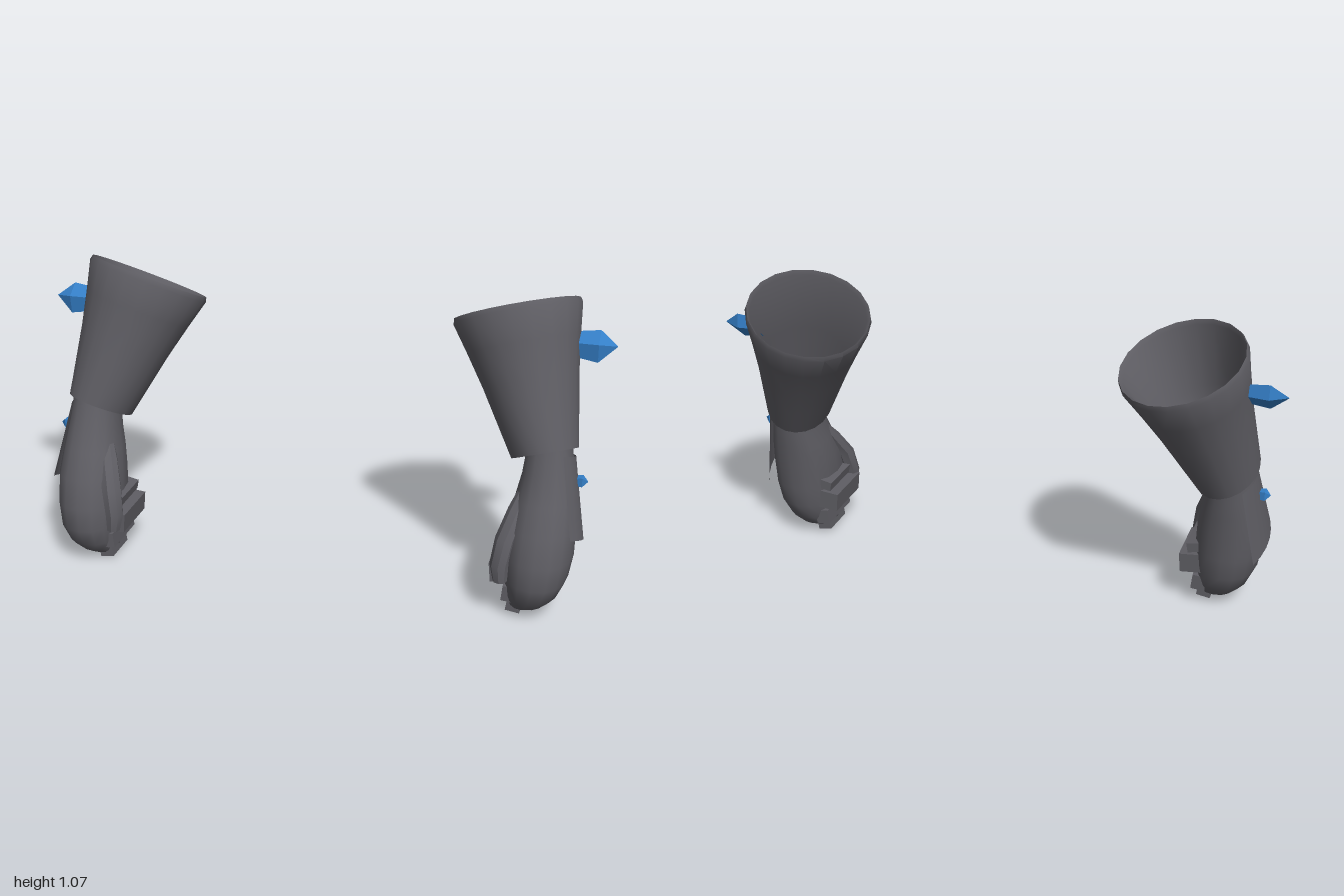
import * as THREE from 'three';
import { toCreasedNormals } from 'three/addons/utils/BufferGeometryUtils.js';

const V = (x, y, z) => new THREE.Vector3(x, y, z);

// Skin a list of rings; s = -1 mirrors the surface across x = 0.
function loft(rings, s, { closed = true, crease = 0.6 } = {}) {
  const n = rings[0].length, pos = [], idx = [];
  for (const ring of rings) for (const p of ring) pos.push(p.x * s, p.y, p.z);
  for (let i = 0; i < rings.length - 1; i++) {
    for (let j = 0; j < (closed ? n : n - 1); j++) {
      const k = (j + 1) % n;
      const a = i * n + j, b = i * n + k, c = b + n, d = a + n;
      if (s > 0) idx.push(a, d, c, a, c, b);
      else idx.push(a, c, d, a, b, c);
    }
  }
  const g = new THREE.BufferGeometry();
  g.setAttribute('position', new THREE.Float32BufferAttribute(pos, 3));
  g.setIndex(idx);
  return toCreasedNormals(g, crease);
}

// Elliptical ring in the plane spanned by u and v.
function ring(c, u, v, ru, rv, sides, power = 1) {
  const soft = (t) => Math.sign(t) * Math.abs(t) ** power;
  return Array.from({ length: sides }, (_, j) => {
    const a = (j / sides) * Math.PI * 2;
    return c.clone().addScaledVector(u, ru * soft(Math.cos(a))).addScaledVector(v, rv * soft(Math.sin(a)));
  });
}

function cuff(s) {
  const low = V(0.798, 0.54, 0.057), high = V(0.655, 0.98, -0.11);
  const n = V(-0.267, 0.89, -0.365).normalize();
  const u = V(1, 0, 0).addScaledVector(n, -n.x).normalize();
  const v = u.clone().cross(n);
  // [position along axis, wall inset]: outer wall, rim lip, inner wall, bottom lip
  const profile = [[0, 0], [0.25, 0.003], [0.5, 0.006], [0.75, 0.004], [0.965, 0],
    [1, 0.008], [0.97, 0.016], [0.5, 0.016], [0, 0.016], [0, 0]];
  return loft(profile.map(([t, inset]) => ring(low.clone().lerp(high, t), u, v,
    THREE.MathUtils.lerp(0.114, 0.223, t) - inset,
    THREE.MathUtils.lerp(0.137, 0.211, t) - inset, 20)), s);
}

function hand(s) {
  // [y, xMin, xMax, zMin, zMax, slant]
  const sections = [
    [0.004, 0.75, 0.752, 0.15, 0.152, 0], [0.012, 0.725, 0.79, 0.115, 0.2, 0],
    [0.04, 0.715, 0.845, 0.06, 0.245, 0], [0.08, 0.705, 0.885, 0.025, 0.28, 0],
    [0.14, 0.7, 0.912, 0, 0.298, 0], [0.22, 0.695, 0.925, -0.012, 0.29, 0],
    [0.32, 0.7, 0.925, -0.02, 0.262, 0], [0.4, 0.712, 0.915, -0.03, 0.215, 0.1],
    [0.48, 0.727, 0.9, -0.037, 0.168, 0.3], [0.56, 0.735, 0.888, -0.045, 0.14, 0.42],
  ];
  return loft(sections.map(([y, x0, x1, z0, z1, k]) => {
    const c = V((x0 + x1) / 2, y, (z0 + z1) / 2);
    const r = ring(c, V(1, 0, 0), V(0, 0, 1), (x1 - x0) / 2, (z1 - z0) / 2, 16, 0.87);
    for (const p of r) p.y += k * (p.z - c.z) + k * 0.6 * (p.x - c.x);
    return r;
  }), s, { crease: 0.9 });
}

function thumb(s) {
  // [x, y, z, radius]
  const path = [[0.7, 0.13, 0.245, 0.001], [0.695, 0.14, 0.245, 0.024], [0.69, 0.2, 0.24, 0.033],
    [0.705, 0.29, 0.22, 0.036], [0.735, 0.38, 0.165, 0.034], [0.76, 0.46, 0.11, 0.02]];
  return loft(path.map(([x, y, z, r]) => ring(V(x, y, z), V(1, 0, 0), V(0, 0, 1), r, r, 8)), s);
}

// Flared, gently curved guard over the back of the hand
function guard(s) {
  const rows = [];
  for (let i = 0; i <= 4; i++) {
    const t = i / 4, row = [];
    const back = V(0.94, 0.22, 0).lerp(V(0.89, 0.505, -0.042), t);
    const front = V(0.938, 0.315, 0.237).lerp(V(0.888, 0.57, 0.14), t);
    for (let j = 0; j <= 6; j++) {
      const w = j / 6, p = back.clone().lerp(front, w);
      p.x += 0.012 - 0.13 * (w - 0.5) ** 2;
      row.push(p);
    }
    rows.push(row);
  }
  return loft(rows, s, { closed: false });
}

// Faceted stone pointing outward: base, girdle, tip
function gem(s, outline, centre, levels) {
  const rings = levels.map(([x, k]) => outline.map(([y, z]) =>
    V(x, centre[0] + (y - centre[0]) * k, centre[1] + (z - centre[1]) * k)));
  return loft(rings, s, { crease: 0.01 });
}

export function createModel() {
  const model = new THREE.Group();
  model.name = 'gauntlets';
  const metal = new THREE.MeshStandardMaterial({ color: 0x5e5d63, side: THREE.DoubleSide });
  metal.name = 'dark grey metal';
  const blue = new THREE.MeshStandardMaterial({ color: 0x347ec6 });
  blue.name = 'blue crystal';

  for (const s of [1, -1]) {
    const side = new THREE.Group();
    side.name = s > 0 ? 'leftGauntlet' : 'rightGauntlet';
    const add = (name, geometry, material) => {
      const mesh = new THREE.Mesh(geometry, material);
      mesh.name = name;
      side.add(mesh);
      return mesh;
    };
    add('cuff', cuff(s), metal);
    add('hand', hand(s), metal);
    add('thumb', thumb(s), metal);
    add('handGuard', guard(s), metal);

    // Curled finger segments across the palm: [x, y, z, width, height, depth, tilt]
    const segments = [
      [0.71, 0.23, 0.12, 0.06, 0.035, 0.17, 0.2],
      [0.697, 0.165, 0.135, 0.08, 0.07, 0.2, 0.1],
      [0.727, 0.085, 0.14, 0.05, 0.055, 0.19, -0.1],
      [0.742, 0.035, 0.15, 0.05, 0.05, 0.13, -0.15],
    ];
    for (const [x, y, z, w, h, d, tilt] of segments) {
      const m = add('fingerSegment', new THREE.BoxGeometry(w, h, d), metal);
      m.position.set(x * s, y, z);
      m.rotation.z = tilt * s;
    }

    // Large stone on the cuff and small stud on the guard
    add('cuffCrystal', gem(s, [[0.935, -0.098], [0.885, -0.106], [0.835, -0.055], [0.9, -0.046]],
      [0.89, -0.076], [[0.865, 0.8], [0.94, 1], [1, 0.01]]), blue);
    add('guardStud', gem(s, [[0.475, 0.055], [0.443, 0.055], [0.443, 0.087], [0.475, 0.087]],
      [0.459, 0.071], [[0.9, 0.8], [0.93, 1], [0.948, 0.05]]), blue);
    model.add(side);
  }
  return model;
}
